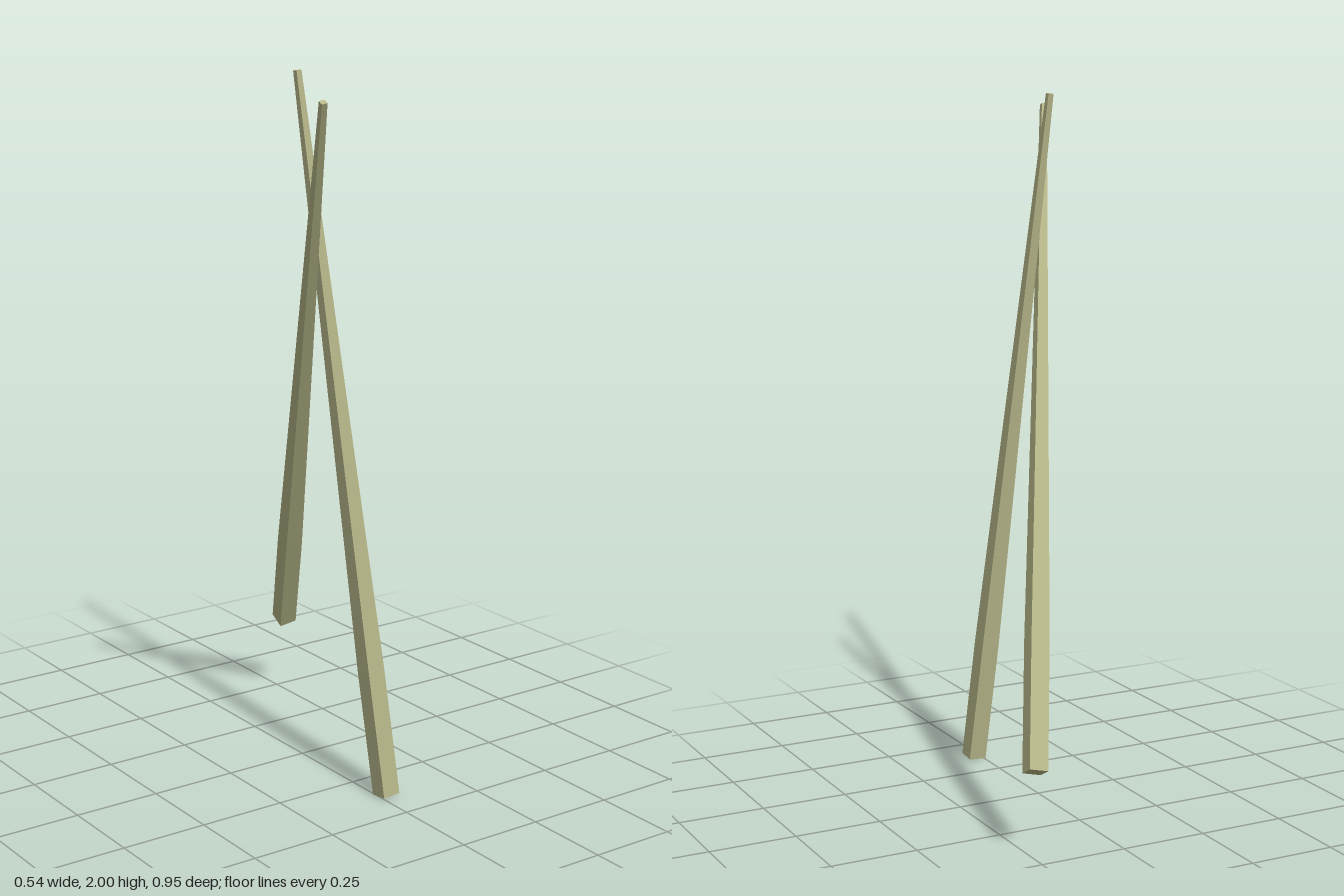
import * as THREE from 'three';

const THICK = 0.053, THIN = 0.016, HANDLE = 0.18;

// Square stick: even handle at the thick end, then a straight taper to the tip.
// side is the rough direction of one pair of its edges.
function makeStick(name, thickEnd, thinEnd, side, material) {
  const a = new THREE.Vector3(...thickEnd), b = new THREE.Vector3(...thinEnd);
  const length = a.distanceTo(b);
  const geometry = new THREE.BoxGeometry(1, 1, 1, 1, 2, 1);
  const pos = geometry.attributes.position;
  for (let i = 0; i < pos.count; i++) {
    const level = Math.round((pos.getY(i) + 0.5) * 2); // 0 butt, 1 end of handle, 2 tip
    const width = level === 2 ? THIN : THICK;
    pos.setXYZ(i, pos.getX(i) * width, [0, HANDLE, 1][level] * length, pos.getZ(i) * width);
  }
  geometry.computeVertexNormals();

  // Turn the stick so that it runs from its thick end to its tip
  const y = b.clone().sub(a).normalize();
  const x = new THREE.Vector3(...side);
  x.addScaledVector(y, -x.dot(y)).normalize();
  const z = new THREE.Vector3().crossVectors(x, y);
  const mesh = new THREE.Mesh(geometry, material);
  mesh.name = name;
  mesh.quaternion.setFromRotationMatrix(new THREE.Matrix4().makeBasis(x, y, z));
  mesh.position.copy(a);
  return mesh;
}

export function createModel() {
  const group = new THREE.Group();
  group.name = 'chopsticks';
  const wood = new THREE.MeshStandardMaterial({ color: 0xb5b588, flatShading: true });
  group.add(
    makeStick('uprightChopstick', [0.022, 0.005, 0.378], [-0.1, 1.998, 0.12], [1, 0.06, 0], wood),
    makeStick('leaningChopstick', [0.244, 0.24, -0.449], [-0.263, 1.955, 0.467], [0.98, 0.21, 0.15], wood),
  );
  return group;
}
